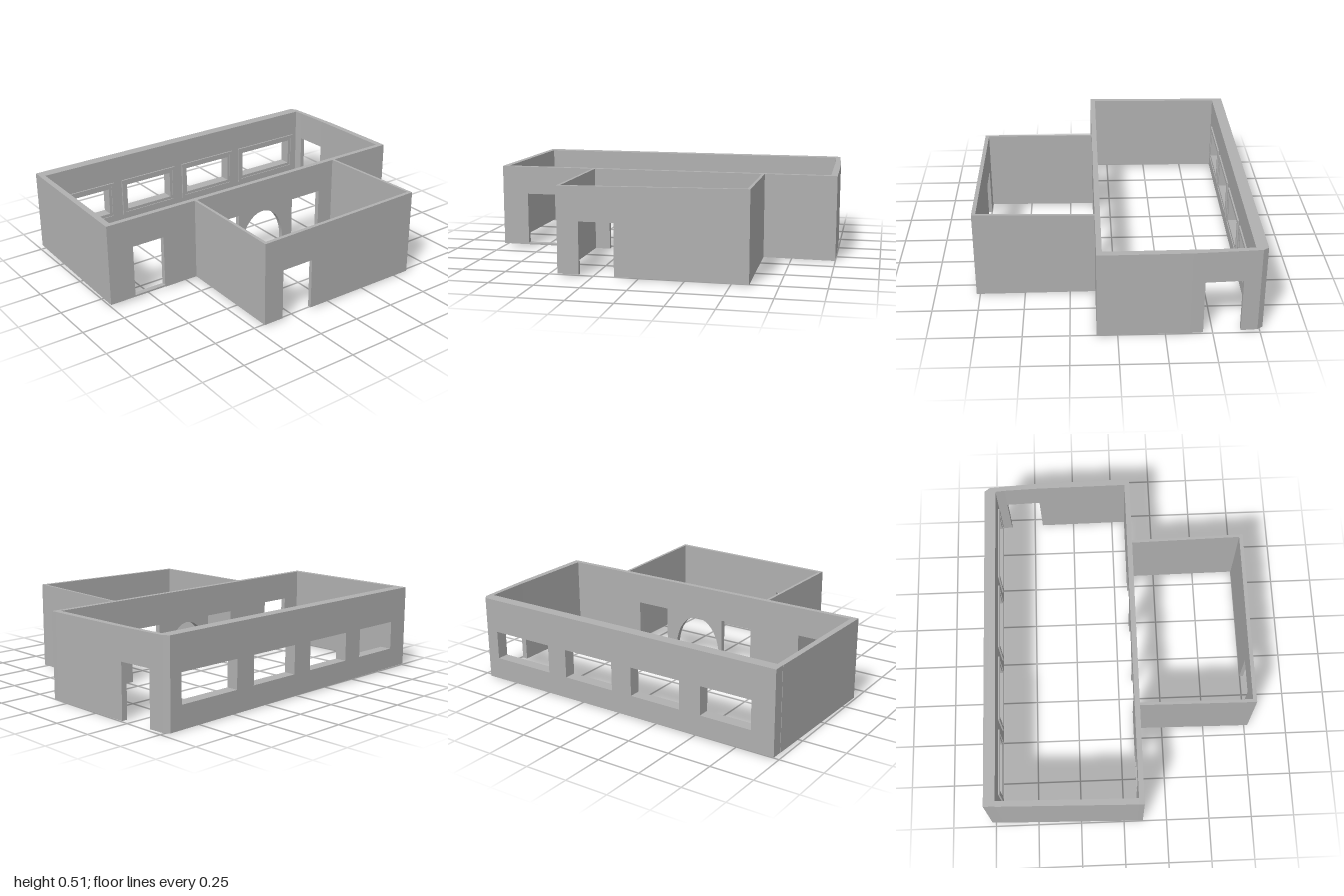
import * as THREE from 'three';

const TOP = 0.49;

export function createModel() {
  const model = new THREE.Group();
  const plaster = new THREE.MeshStandardMaterial({ color: 0xb0b0b0 });

  // slight fall of the footing towards the back, slight rise of the annex top
  function settle(geo) {
    const p = geo.attributes.position;
    for (let i = 0; i < p.count; i++) {
      const x = p.getX(i), y = p.getY(i), z = p.getZ(i);
      if (Math.abs(y) < 1e-4) p.setY(i, 0.007 * (1 + z));
      else if (Math.abs(y - TOP) < 1e-4 && x > 0.12) {
        p.setY(i, TOP + 0.015 * ((x - 0.11) / 0.66) * Math.max(0, (0.44 - z) / 1.03));
      }
    }
    geo.computeVertexNormals();
    return geo;
  }

  function add(name, geo, parent = model) {
    const mesh = new THREE.Mesh(settle(geo), plaster);
    mesh.name = name;
    parent.add(mesh);
  }

  // plain wall: plan outline [x, z] raised from y0 to y1
  function slab(name, plan, y0, y1) {
    const shape = new THREE.Shape(plan.map(([x, z]) => new THREE.Vector2(x, -z)));
    const geo = new THREE.ExtrudeGeometry(shape, { depth: y1 - y0, bevelEnabled: false });
    geo.rotateX(-Math.PI / 2);
    geo.translate(0, y0, 0);
    add(name, geo);
  }

  function rectPath(z0, z1, y0, y1, Type = THREE.Path) {
    return new Type([[-z1, y0], [-z0, y0], [-z0, y1], [-z1, y1]].map(([u, v]) => new THREE.Vector2(u, v)));
  }

  // outline drawn in (-z, y) and given thickness from x0 to x1
  function thicken(shape, x0, x1) {
    const geo = new THREE.ExtrudeGeometry(shape, { depth: x1 - x0, bevelEnabled: false, curveSegments: 24 });
    geo.rotateY(Math.PI / 2);
    geo.translate(x0, 0, 0);
    return geo;
  }

  // wall running front to back, with floor-level doors and raised windows
  function sideWall(name, x0, x1, z0, z1, doors, windows = []) {
    const s = new THREE.Shape();
    s.moveTo(-z1, 0);
    for (const d of doors) { // listed from front to back
      s.lineTo(-d.z1, 0);
      if (d.arch) {
        s.lineTo(-d.z1, d.spring);
        s.absellipse(-(d.z0 + d.z1) / 2, d.spring, (d.z1 - d.z0) / 2, d.h - d.spring, Math.PI, 0, true);
      } else {
        s.lineTo(-d.z1, d.h);
        s.lineTo(-d.z0, d.h);
      }
      s.lineTo(-d.z0, 0);
    }
    s.lineTo(-z0, 0);
    s.lineTo(-z0, TOP);
    s.lineTo(-z1, TOP);
    for (const w of windows) s.holes.push(rectPath(w[0], w[1], 0.13, 0.295));
    add(name, thicken(s, x0, x1));
  }

  // window wall of the main hall
  const windows = [[0.54, 0.845], [0.095, 0.41], [-0.36, -0.035], [-0.875, -0.485]];
  sideWall('windowWall', -0.77, -0.705, -0.95, 0.98, [], windows);

  // stepped trim around each window on the inside
  function trim(name, w, grow0, grow1, depth, parent) {
    const ring = rectPath(w[0] - grow1, w[1] + grow1, 0.13 - grow1, 0.295 + grow1, THREE.Shape);
    ring.holes.push(rectPath(w[0] - grow0, w[1] + grow0, 0.13 - grow0, 0.295 + grow0));
    add(name, thicken(ring, -0.706, -0.705 + depth), parent);
  }
  windows.forEach((w, i) => {
    const frame = new THREE.Group();
    frame.name = 'windowFrame' + (i + 1);
    model.add(frame);
    trim('innerTrim', w, 0, 0.018, 0.004, frame);
    trim('outerTrim', w, 0.018, 0.036, 0.009, frame);
  });

  // wall shared by hall and annex: front door, inner door, arch, inner door
  sideWall('dividingWall', 0.08, 0.11, -1, 1, [
    { z0: 0.65, z1: 0.845, h: 0.325 },
    { z0: 0.135, z1: 0.335, h: 0.31 },
    { z0: -0.19, z1: 0.115, h: 0.295, spring: 0.08, arch: true },
    { z0: -0.47, z1: -0.26, h: 0.31 },
  ]);
  const sill = new THREE.BoxGeometry(0.03, 0.01, 0.195);
  sill.translate(0.095, 0.018, 0.7475);
  add('frontDoorSill', sill);

  // end walls of the hall
  slab('frontWall', [[-0.705, 0.95], [0.08, 0.965], [0.08, 1], [-0.705, 0.982]], 0, TOP);
  slab('backWallCorner', [[-0.77, -0.95], [-0.74, -0.972], [-0.65, -0.978], [-0.65, -0.95], [-0.705, -0.945]], 0, TOP);
  slab('backDoorLintel', [[-0.65, -0.978], [-0.45, -0.99], [-0.45, -0.957], [-0.65, -0.95]], 0.31, TOP);
  slab('backWall', [[-0.45, -0.99], [-0.38, -0.994], [0.08, -1], [0.08, -0.962], [-0.45, -0.957]], 0, TOP);

  // annex
  sideWall('annexOuterWall', 0.748, 0.77, -0.595, 0.445, [{ z0: 0.13, z1: 0.325, h: 0.3 }]);
  slab('annexFrontWall', [[0.11, 0.422], [0.748, 0.427], [0.748, 0.445], [0.11, 0.438]], 0, TOP);
  slab('annexBackWall', [[0.11, -0.588], [0.748, -0.595], [0.748, -0.578], [0.11, -0.572]], 0, TOP);

  return model;
}
